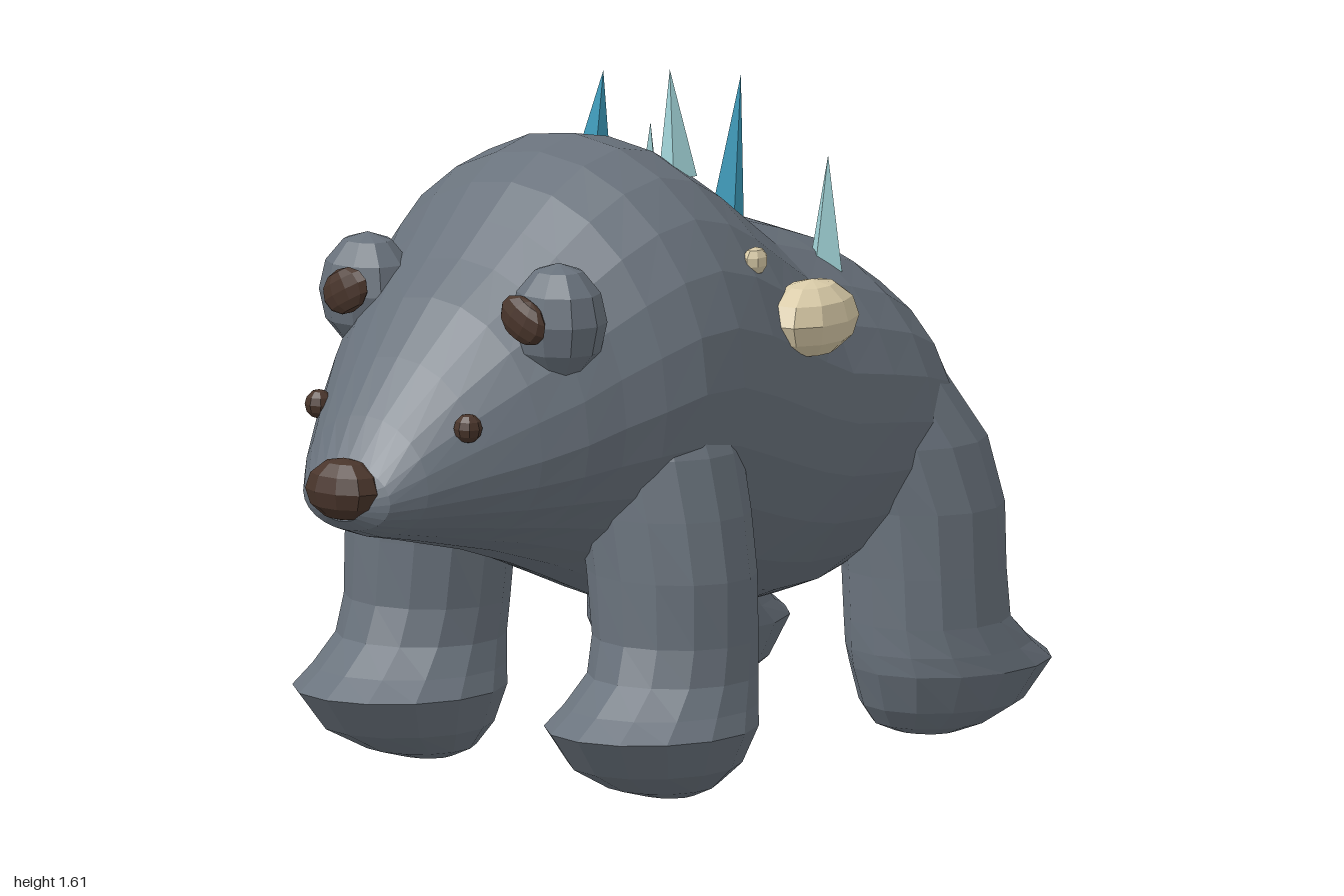
import * as THREE from 'three';

const mat = (name, color) => {
  const m = new THREE.MeshStandardMaterial({ color });
  m.name = name;
  return m;
};

// Give a geometry one normal per face for the faceted look
function faceted(geo) {
  const g = geo.index ? geo.toNonIndexed() : geo;
  g.computeVertexNormals();
  return g;
}

// Skin a list of rings (arrays of Vector3) and close both ends
function loft(rings) {
  const n = rings[0].length, pos = [], idx = [];
  rings.forEach(r => r.forEach(p => pos.push(p.x, p.y, p.z)));
  for (let k = 0; k < rings.length - 1; k++) {
    for (let i = 0; i < n; i++) {
      const a = k * n + i, b = k * n + (i + 1) % n;
      idx.push(a, b, a + n, b, b + n, a + n);
    }
  }
  const cap = (ring, start, flip) => {
    const c = ring.reduce((s, p) => s.add(p), new THREE.Vector3()).divideScalar(n);
    const ci = pos.length / 3;
    pos.push(c.x, c.y, c.z);
    for (let i = 0; i < n; i++) {
      const a = start + i, b = start + (i + 1) % n;
      if (flip) idx.push(ci, b, a); else idx.push(ci, a, b);
    }
  };
  cap(rings[0], 0, true);
  cap(rings[rings.length - 1], (rings.length - 1) * n, false);
  const g = new THREE.BufferGeometry();
  g.setAttribute('position', new THREE.Float32BufferAttribute(pos, 3));
  g.setIndex(idx);
  return faceted(g);
}

// Body sections from rump to muzzle: z, half width, top, widest height, bottom
const BODY = [
  [-0.915, 0.1, 0.82, 0.74, 0.66],
  [-0.87, 0.25, 0.89, 0.73, 0.57],
  [-0.8, 0.36, 0.98, 0.73, 0.5],
  [-0.7, 0.44, 1.08, 0.74, 0.42],
  [-0.58, 0.48, 1.155, 0.76, 0.36],
  [-0.45, 0.49, 1.2, 0.78, 0.325],
  [-0.3, 0.495, 1.245, 0.8, 0.32],
  [-0.2, 0.5, 1.32, 0.83, 0.33],
  [-0.1, 0.505, 1.395, 0.87, 0.345],
  [0, 0.51, 1.45, 0.91, 0.37],
  [0.12, 0.51, 1.475, 0.95, 0.42],
  [0.24, 0.5, 1.45, 0.95, 0.47],
  [0.34, 0.465, 1.395, 0.92, 0.51],
  [0.43, 0.42, 1.32, 0.89, 0.54],
  [0.52, 0.385, 1.245, 0.86, 0.57],
  [0.62, 0.33, 1.17, 0.83, 0.595],
  [0.74, 0.255, 1.05, 0.8, 0.625],
  [0.85, 0.185, 0.93, 0.77, 0.65],
  [0.92, 0.13, 0.83, 0.75, 0.675],
  [0.945, 0.07, 0.79, 0.74, 0.7],
];

function bodyGeometry() {
  const N = 24;
  return loft(BODY.map(([z, w, top, mid, bot]) =>
    Array.from({ length: N }, (_, i) => {
      const a = i / N * Math.PI * 2, s = Math.sin(a);
      return new THREE.Vector3(w * Math.cos(a), mid + s * (s > 0 ? top - mid : mid - bot), z);
    })));
}

// Leg sections from sole to hip: y, centre x, centre z, half width, half depth
const FRONT_LEG = [
  [0.005, 0.36, 0.22, 0.07, 0.06],
  [0.03, 0.36, 0.24, 0.13, 0.13],
  [0.085, 0.37, 0.27, 0.19, 0.21],
  [0.175, 0.375, 0.29, 0.235, 0.26],
  [0.22, 0.375, 0.255, 0.215, 0.23],
  [0.285, 0.375, 0.215, 0.195, 0.195],
  [0.37, 0.37, 0.2, 0.195, 0.182],
  [0.52, 0.36, 0.2, 0.205, 0.18],
  [0.66, 0.335, 0.195, 0.205, 0.185],
  [0.8, 0.3, 0.19, 0.205, 0.19],
  [0.95, 0.26, 0.18, 0.17, 0.16],
];
const BACK_LEG = [
  [0.02, 0.37, -0.68, 0.08, 0.07],
  [0.04, 0.37, -0.7, 0.13, 0.14],
  [0.085, 0.38, -0.725, 0.18, 0.2],
  [0.175, 0.39, -0.745, 0.215, 0.255],
  [0.22, 0.385, -0.71, 0.205, 0.225],
  [0.285, 0.38, -0.675, 0.19, 0.19],
  [0.4, 0.375, -0.67, 0.19, 0.185],
  [0.55, 0.36, -0.67, 0.2, 0.19],
  [0.7, 0.32, -0.65, 0.2, 0.2],
  [0.85, 0.26, -0.6, 0.18, 0.18],
];

function legGeometry(table, side) {
  const N = 14;
  return loft(table.map(([y, cx, cz, rx, rz]) =>
    Array.from({ length: N }, (_, i) => {
      const a = i / N * Math.PI * 2;
      return new THREE.Vector3(side * cx + rx * Math.sin(a), y, cz + rz * Math.cos(a));
    })));
}

export function createModel() {
  const group = new THREE.Group();
  const fur = mat('slate fur', 0x69727c);
  const brown = mat('dark brown', 0x49352b);
  const bone = mat('pale bone', 0xd9cba8);
  const ice = mat('pale ice', 0xa0d2d6);
  const blue = mat('deep ice', 0x3d9dbd);

  const add = (name, geo, material) => {
    const m = new THREE.Mesh(geo, material);
    m.name = name;
    group.add(m);
    return m;
  };
  // Faceted ellipsoid
  const blob = (name, material, p, r, segs = [10, 6]) => {
    const g = new THREE.SphereGeometry(1, ...segs);
    g.scale(...r);
    const m = add(name, faceted(g), material);
    m.position.set(...p);
    return m;
  };

  add('body', bodyGeometry(), fur);
  blob('nose', brown, [0, 0.772, 0.93], [0.1, 0.073, 0.07]);

  // Paired parts
  for (const s of [1, -1]) {
    const side = s > 0 ? 'left' : 'right';
    add(side + 'FrontLeg', legGeometry(FRONT_LEG, s), fur);
    add(side + 'BackLeg', legGeometry(BACK_LEG, s), fur);
    blob(side + 'Ear', fur, [s * 0.285, 1.135, 0.51], [0.115, 0.135, 0.105]);
    blob(side + 'InnerEar', brown, [s * 0.265, 1.15, 0.612], [0.07, 0.052, 0.025]).rotation.z = -s * 0.5;
    blob(side + 'Eye', brown, [s * 0.222, 0.915, 0.755], [0.034, 0.034, 0.032], [8, 6]);
    blob(side + 'ShoulderBone', bone, [s * 0.455, 1.06, -0.18], [0.095, 0.09, 0.145]).rotation.y = s * 0.2;
    blob(side + 'SmallBone', bone, [s * 0.418, 1.21, -0.025], [0.025, 0.033, 0.038], [7, 5]);
  }

  // Back spikes: material, base point, tip point
  const spikes = [
    [ice, [0.17, 1.37, -0.045], [0.142, 1.615, -0.05]],
    [blue, [-0.18, 1.32, -0.155], [-0.145, 1.56, -0.155]],
    [blue, [0.0, 1.17, -0.415], [0.045, 1.535, -0.415]],
    [ice, [-0.27, 1.1, -0.46], [-0.26, 1.38, -0.457]],
    [ice, [0.255, 1.1, -0.465], [0.25, 1.365, -0.48]],
  ];
  const up = new THREE.Vector3(0, 1, 0);
  spikes.forEach(([material, b, t], i) => {
    const base = new THREE.Vector3(...b), tip = new THREE.Vector3(...t);
    const dir = tip.clone().sub(base);
    const m = add('spike' + (i + 1), faceted(new THREE.ConeGeometry(0.045, dir.length(), 4)), material);
    m.position.copy(base).add(tip).multiplyScalar(0.5);
    m.quaternion.setFromUnitVectors(up, dir.normalize());
    m.rotateY(0.5 + i * 0.3);
  });

  return group;
}
